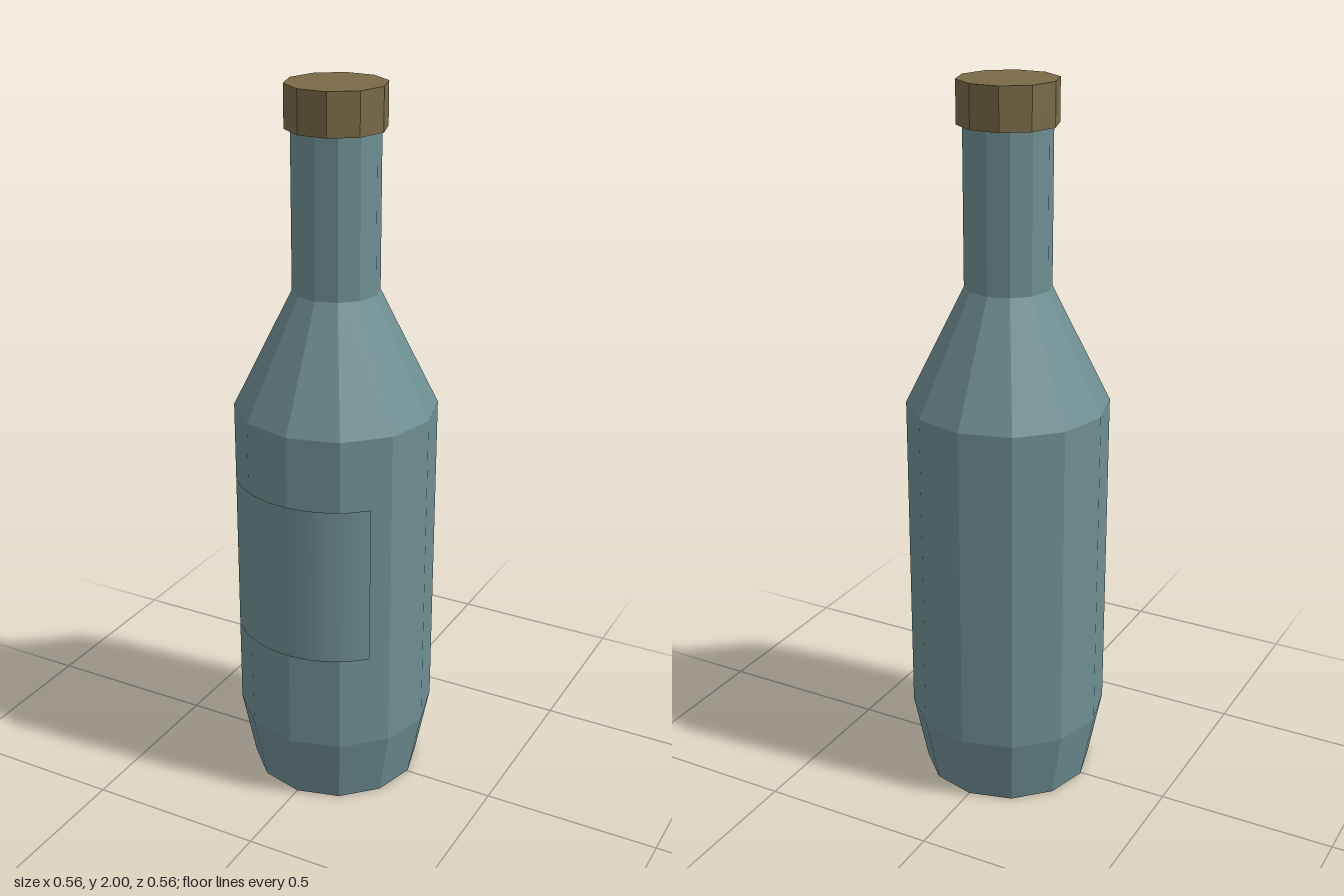
import * as THREE from 'three';

const CZ = -0.004; // bottle axis; the label shifts the overall centre slightly

export function createModel() {
  const glass = new THREE.MeshStandardMaterial({ color: 0x6f8f93 });
  glass.name = 'blueGreenGlass';
  glass.flatShading = true;
  const labelPaint = new THREE.MeshStandardMaterial({ color: 0x6f8f93, side: THREE.DoubleSide });
  labelPaint.name = 'blueGreenLabel';
  const capPaint = new THREE.MeshStandardMaterial({ color: 0x7a6a48 });
  capPaint.name = 'brownCap';
  capPaint.flatShading = true;

  const model = new THREE.Group();
  model.name = 'bottle';
  const add = (name, geometry, material, y = 0) => {
    const mesh = new THREE.Mesh(geometry, material);
    mesh.name = name;
    mesh.position.set(0, y, CZ);
    model.add(mesh);
    return mesh;
  };

  // Twelve-sided body: base, tapered foot, straight wall, shoulder, neck, closed mouth
  const profile = [[0, 0], [0.24, 0], [0.279, 0.195], [0.279, 1.13], [0.118, 1.455], [0.118, 1.93], [0, 1.93]]
    .map(([r, y]) => new THREE.Vector2(r, y));
  add('body', new THREE.LatheGeometry(profile, 12), glass);

  // Ten-sided cap with a corner pointing sideways
  const cap = add('cap', new THREE.CylinderGeometry(0.135, 0.135, 0.115, 10), capPaint, 1.9425);
  cap.rotation.y = Math.PI / 2;

  // Curved label wrapped around the front
  const sweep = 1.636;
  add('label', new THREE.CylinderGeometry(0.284, 0.284, 0.455, 8, 1, true, -sweep / 2, sweep), labelPaint, 0.705);

  return model;
}
